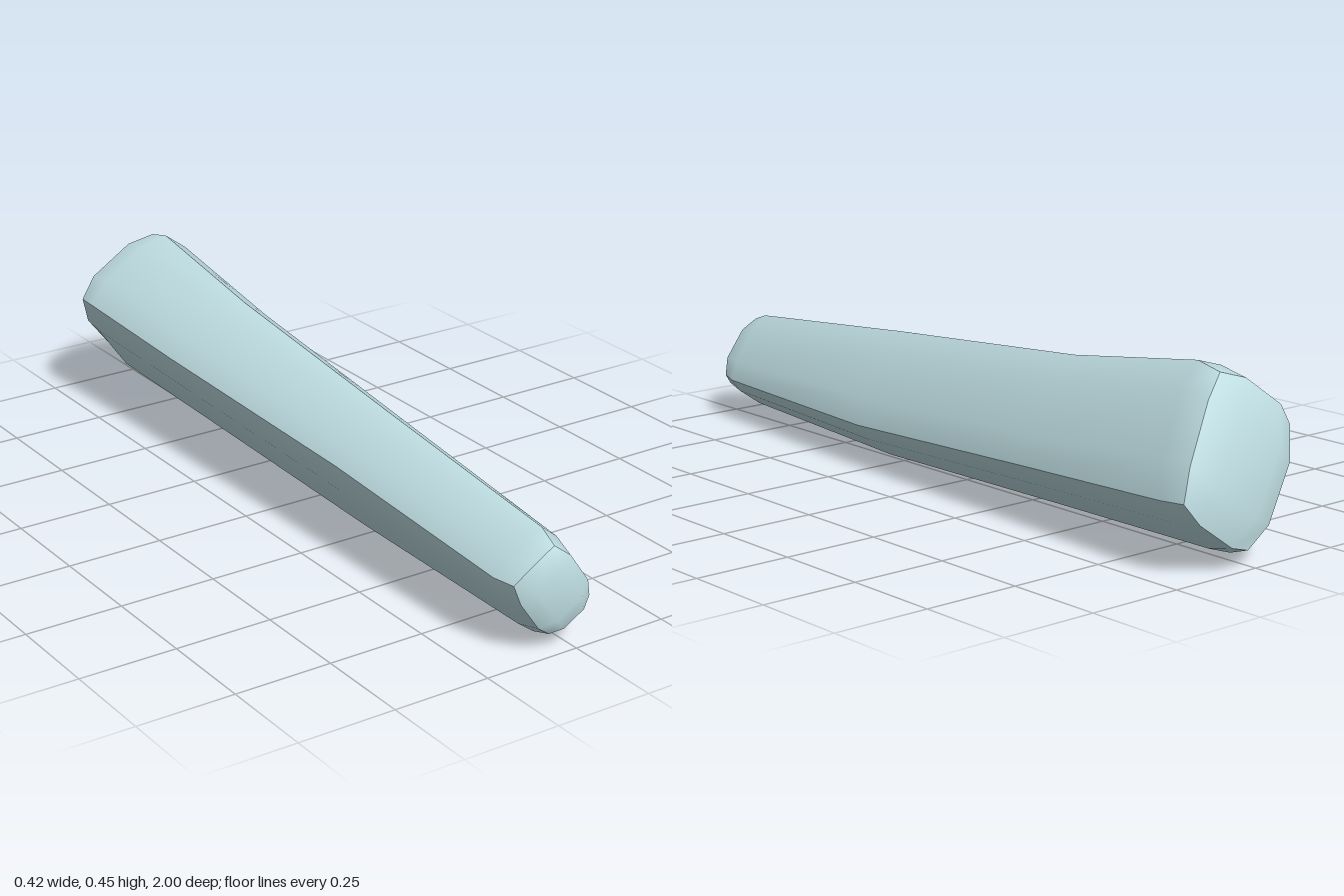
import * as THREE from 'three';

// Cross-sections from front to back; corners in order top, right, bottom, left
const SECTIONS = [
  [[-0.05, 0.26, 0.97], [0.05, 0.113, 0.978], [-0.055, 0.04, 0.968], [-0.157, 0.187, 0.965]],
  [[-0.04, 0.28, 0.91], [0.07, 0.11, 0.92], [-0.055, 0.022, 0.91], [-0.172, 0.19, 0.91]],
  [[-0.025, 0.335, 0.3], [0.13, 0.112, 0.28], [-0.027, 0.002, 0.28], [-0.183, 0.235, 0.3]],
  [[0.003, 0.393, -0.4], [0.172, 0.149, -0.4], [-0.012, 0.013, -0.4], [-0.195, 0.263, -0.45]],
  [[0.015, 0.453, -0.82], [0.208, 0.176, -0.9], [0, 0.02, -0.92], [-0.212, 0.293, -0.84]],
  [[0.014, 0.437, -0.89], [0.202, 0.18, -0.97], [0.005, 0.04, -0.98], [-0.2, 0.285, -0.91]],
];
const STEPS = [0, 0.25, 0.75];
const T = [0, 0.25, 0.75, 1];

// Twelve points: each side of the four-cornered section bows outward
function makeRing(corners, zBow) {
  const ring = [];
  corners.forEach((c, k) => {
    const a = new THREE.Vector3(...c);
    const b = new THREE.Vector3(...corners[(k + 1) % 4]);
    const bow = new THREE.Vector3(a.y - b.y, b.x - a.x, 0).multiplyScalar(0.085).setZ(zBow);
    STEPS.forEach((t) => {
      const p = a.clone().lerp(b, t);
      ring.push(t > 0 ? p.add(bow) : p);
    });
  });
  return ring;
}

// Smooth patch from a grid of points; separate patches keep sharp edges between them
function patch(rows, material, name) {
  const w = rows[0].length;
  const index = [];
  for (let i = 0; i < rows.length - 1; i++) {
    for (let j = 0; j < w - 1; j++) {
      const a = i * w + j, b = a + 1, d = a + w, c = d + 1;
      index.push(a, b, d, b, c, d);
    }
  }
  const geometry = new THREE.BufferGeometry().setFromPoints(rows.flat());
  geometry.setIndex(index);
  geometry.computeVertexNormals();
  const mesh = new THREE.Mesh(geometry, material);
  mesh.name = name;
  return mesh;
}

// Domed cap spanning the four sides of a ring
function capRows(ring, dome) {
  const at = (i) => ring[i % 12];
  return T.map((v, i) => T.map((u, j) => {
    const p = new THREE.Vector3();
    const add = (q, s) => p.addScaledVector(q, s);
    add(at(j), 1 - v); add(at(9 - j), v);
    add(at(12 - i), 1 - u); add(at(3 + i), u);
    add(at(0), -(1 - u) * (1 - v)); add(at(3), -u * (1 - v));
    add(at(6), -u * v); add(at(9), -(1 - u) * v);
    if (i % 3 && j % 3) p.z += dome;
    return p;
  }));
}

export function createModel() {
  const group = new THREE.Group();
  group.name = 'taperedBar';
  const material = new THREE.MeshStandardMaterial({ color: 0xc0dfe4 });
  const last = SECTIONS.length - 1;
  const rings = SECTIONS.map((s, i) => makeRing(s, i === 0 ? 0.01 : i === last ? -0.012 : 0));

  // Four long sides
  ['upperRightSide', 'lowerRightSide', 'lowerLeftSide', 'upperLeftSide'].forEach((name, k) => {
    const rows = rings.map((r) => [0, 1, 2, 3].map((j) => r[(k * 3 + j) % 12]));
    group.add(patch(rows, material, name));
  });

  // End caps; the front one is flipped to face +z
  const front = capRows(rings[0], 0.01).map((row) => row.reverse());
  group.add(patch(front, material, 'frontCap'));
  group.add(patch(capRows(rings[last], -0.015), material, 'backCap'));
  return group;
}
